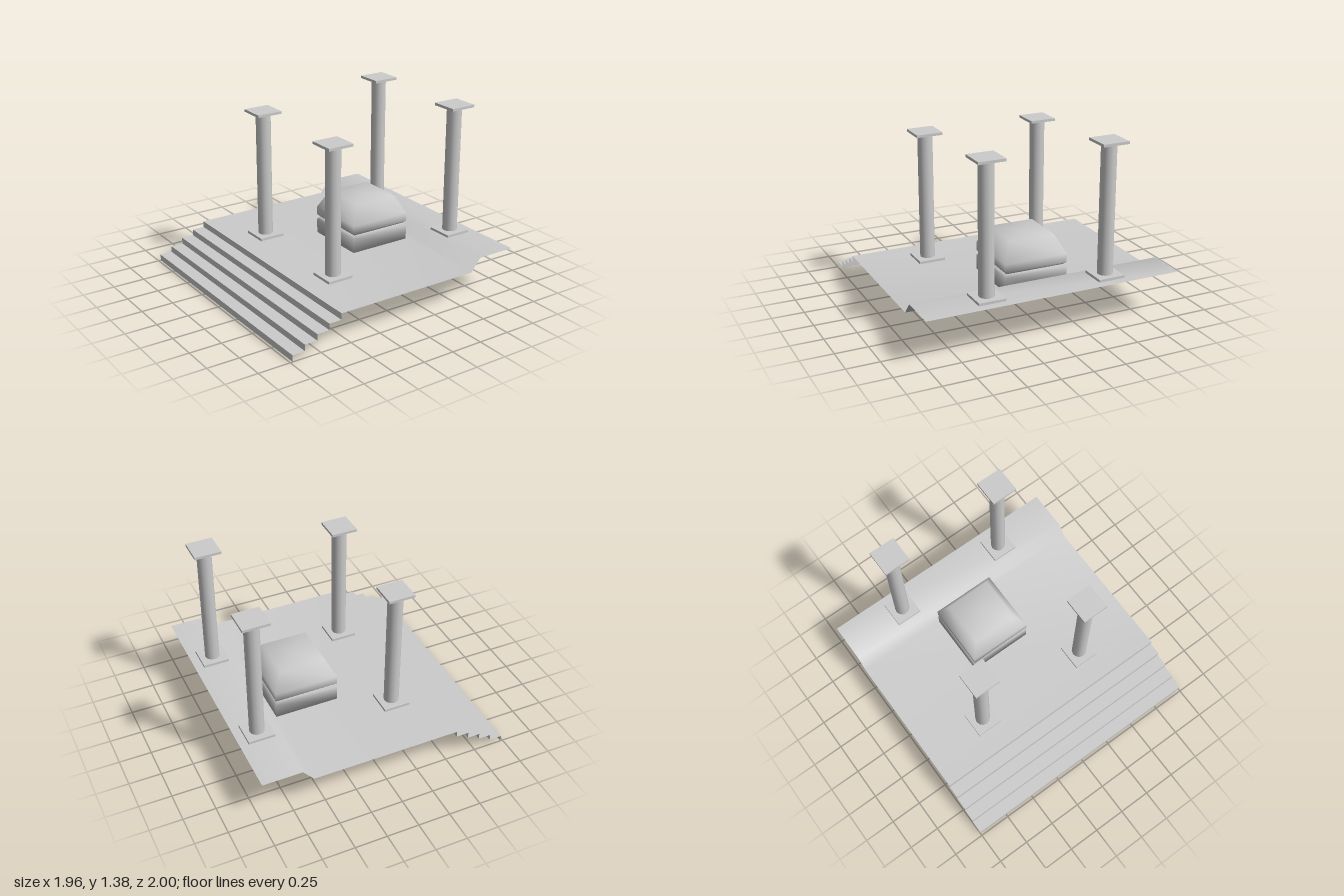
import * as THREE from 'three';

const mat = new THREE.MeshStandardMaterial({ color: 0xcccccc });
const sheetMat = new THREE.MeshStandardMaterial({ color: 0xcccccc, side: THREE.DoubleSide });

// Open sheet: an (x, y) profile stretched along z
function sheet(name, profile, smooth) {
  const pos = [], index = [];
  profile.forEach(([x, y], i) => {
    pos.push(x, y, -1, x, y, 1);
    if (i) {
      const a = 2 * i - 2;
      index.push(a, a + 1, a + 2, a + 1, a + 3, a + 2);
    }
  });
  let geo = new THREE.BufferGeometry();
  geo.setAttribute('position', new THREE.Float32BufferAttribute(pos, 3));
  geo.setIndex(index);
  if (!smooth) geo = geo.toNonIndexed();
  geo.computeVertexNormals();
  const mesh = new THREE.Mesh(geo, sheetMat);
  mesh.name = name;
  return mesh;
}

// Square block with soft shading, from a (half width, y) profile
function squareLoft(name, profile) {
  const points = profile.map(([h, y]) => new THREE.Vector2(h * Math.SQRT2, y));
  const geo = new THREE.LatheGeometry(points, 4, Math.PI / 4);
  const mesh = new THREE.Mesh(geo, mat);
  mesh.name = name;
  return mesh;
}

// Column with a square plate at each end
function column(x, y, z) {
  const group = new THREE.Group();
  group.name = 'column';
  const height = 1.034, plate = 0.02, width = 0.207;
  const shaft = new THREE.Mesh(
    new THREE.CylinderGeometry(0.058, 0.058, height - 2 * plate, 12, 1, true), mat);
  shaft.name = 'shaft';
  shaft.position.y = height / 2;
  group.add(shaft);
  [['basePlate', plate / 2], ['topPlate', height - plate / 2]].forEach(([name, py]) => {
    const mesh = new THREE.Mesh(new THREE.BoxGeometry(width, plate, width), mat);
    mesh.name = name;
    mesh.position.y = py;
    group.add(mesh);
  });
  group.position.set(x, y, z);
  return group;
}

export function createModel() {
  const model = new THREE.Group();
  model.name = 'columnTerrace';

  // Five steps climbing from the right side
  const steps = [];
  for (let i = 0; i < 5; i++) {
    const x = -0.98 + i * 0.1;
    steps.push([x, i * 0.05], [x, (i + 1) * 0.05]);
  }
  model.add(sheet('steps', steps, false));

  // Floor with a short ramp to the raised strip
  model.add(sheet('floor', [[-0.58, 0.25], [0.585, 0.25], [0.67, 0.35], [0.98, 0.35]], true));

  // Four columns, one pair on each level
  for (const z of [-0.477, 0.477]) {
    model.add(column(-0.295, 0.25, z));
    model.add(column(0.81, 0.351, z));
  }

  // Pedestal and the tapered stone on it
  const altar = new THREE.Group();
  altar.name = 'altar';
  altar.add(squareLoft('pedestal', [
    [0, 0.248], [0.253, 0.248], [0.253, 0.365], [0.233, 0.388], [0, 0.388]]));
  altar.add(squareLoft('stone', [
    [0, 0.386], [0.235, 0.386], [0.253, 0.405], [0.253, 0.47], [0.182, 0.612], [0, 0.612]]));
  altar.position.set(0.326, 0, -0.032);
  model.add(altar);

  return model;
}
